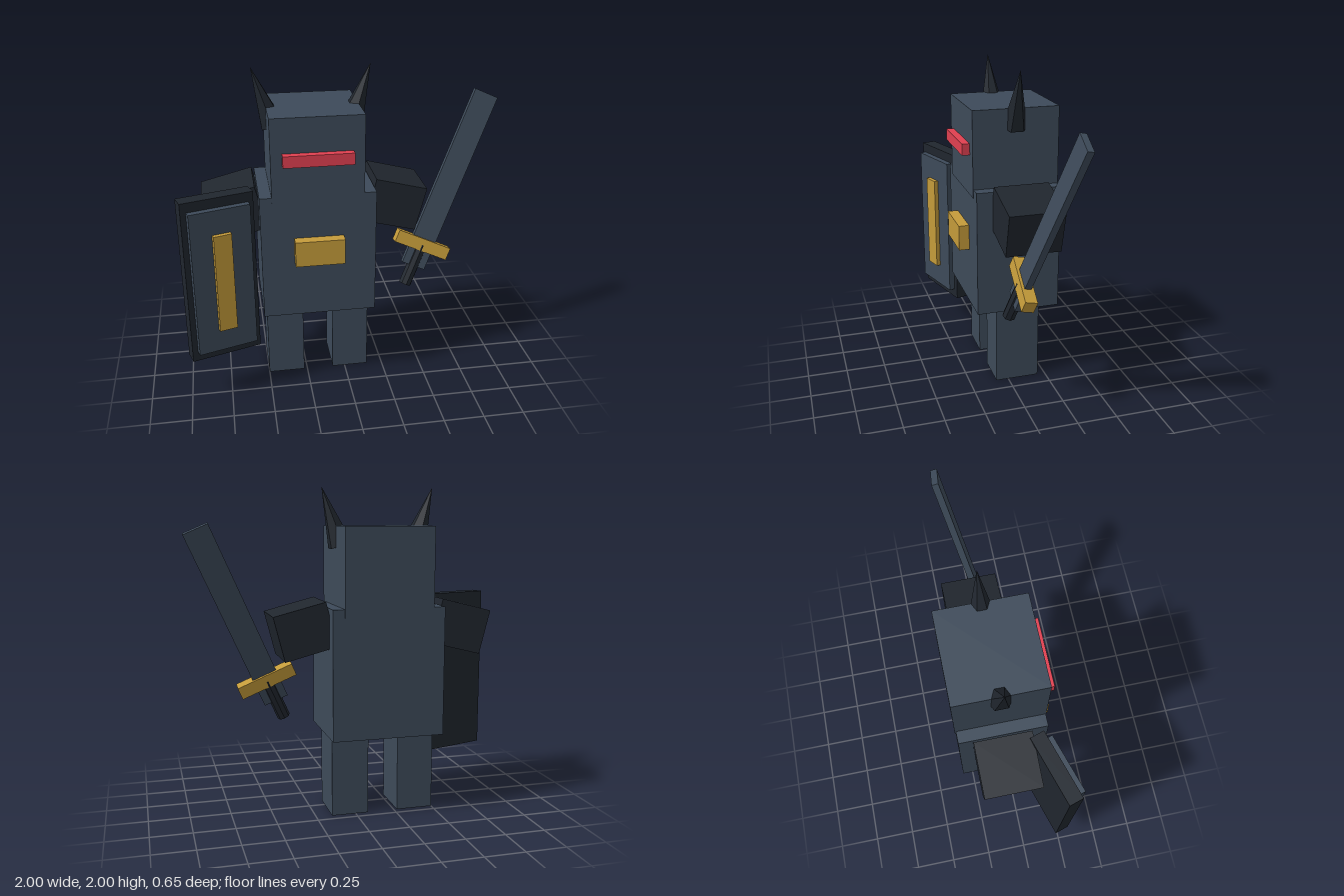
import * as THREE from 'three';

const material = (color) => new THREE.MeshStandardMaterial({ color, flatShading: true });

export function createModel() {
  const steel = material(0x3d4a59);
  const dark = material(0x20262e);
  const gold = material(0xc49b3a);
  const red = material(0xe04050);

  const model = new THREE.Group();
  model.name = 'hornedKnight';

  const add = (parent, name, geometry, mat, x, y, z) => {
    const mesh = new THREE.Mesh(geometry, mat);
    mesh.name = name;
    mesh.position.set(x, y, z);
    parent.add(mesh);
    return mesh;
  };
  const box = (w, h, d) => new THREE.BoxGeometry(w, h, d);

  // Figure: stands beside the origin so that the sword and shield balance
  const figure = new THREE.Group();
  figure.name = 'figure';
  figure.position.set(-0.175, 0, -0.06);
  model.add(figure);

  add(figure, 'torso', box(0.695, 0.79, 0.525), steel, 0, 0.897, 0.002);
  add(figure, 'head', box(0.55, 0.53, 0.535), steel, 0, 1.505, 0);
  add(figure, 'visorSlit', box(0.415, 0.07, 0.08), red, 0, 1.525, 0.275);
  add(figure, 'beltBuckle', box(0.3, 0.16, 0.1), gold, 0, 0.945, 0.28);

  // Mirrored legs, arms and horns
  for (const [side, s] of [['left', 1], ['right', -1]]) {
    add(figure, side + 'Leg', box(0.23, 0.51, 0.28), steel, s * 0.21, 0.255, 0);
    add(figure, side + 'Arm', box(0.325, 0.278, 0.34), dark, s * 0.49, 1.155, -0.005)
      .rotation.z = -s * 0.25;
    add(figure, side + 'Horn', new THREE.ConeGeometry(0.078, 0.365, 6), dark, s * 0.293, 1.827, 0)
      .rotation.z = -s * 0.32;
  }

  // Shield: rim slab, raised panel and central bar
  const shield = new THREE.Group();
  shield.name = 'shield';
  shield.position.set(-0.777, 0.805, 0.19);
  shield.rotation.y = 0.3;
  model.add(shield);
  add(shield, 'shieldRim', box(0.438, 1.05, 0.09), dark, 0, 0, 0);
  add(shield, 'shieldPanel', box(0.37, 0.93, 0.06), steel, 0, 0, 0.055);
  add(shield, 'shieldBar', box(0.11, 0.63, 0.05), gold, 0, 0, 0.088);

  // Sword: local origin at the centre of the guard
  const sword = new THREE.Group();
  sword.name = 'sword';
  sword.position.set(0.51, 0.835, 0.022);
  sword.rotation.set(-0.2, 0, -0.42);
  model.add(sword);
  add(sword, 'blade', box(0.155, 1.18, 0.04), steel, 0, 0.44, 0);
  add(sword, 'guard', box(0.36, 0.08, 0.075), gold, 0, 0, 0);
  add(sword, 'grip', new THREE.CylinderGeometry(0.04, 0.04, 0.28, 8), dark, 0, -0.14, 0);

  return model;
}
